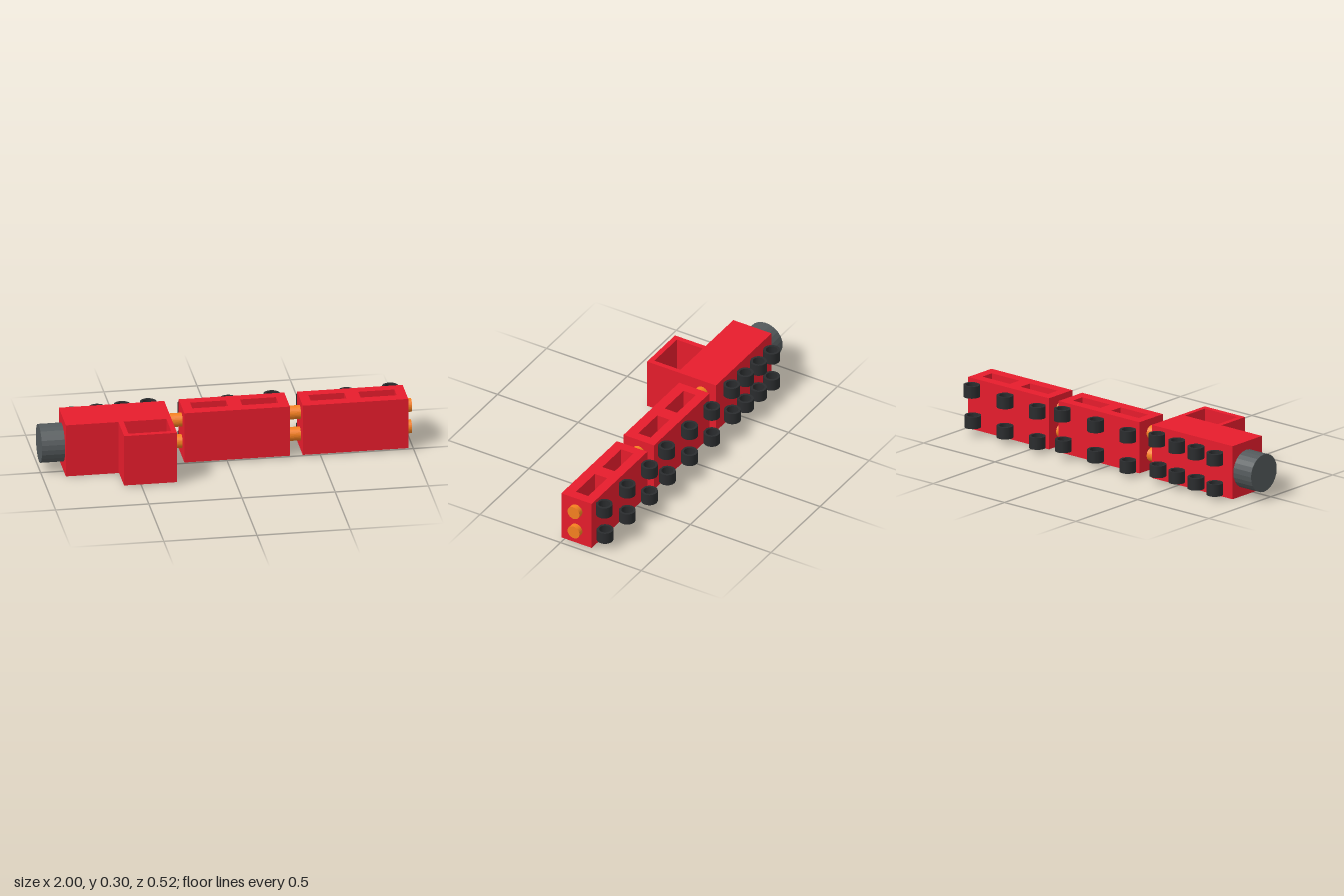
import * as THREE from 'three';

const material = (color) => new THREE.MeshStandardMaterial({ color, flatShading: true });

export function createModel() {
  const model = new THREE.Group();
  const red = material(0xe61c2c), orange = material(0xf58020);
  const grey = material(0x53595b), black = material(0x2a2c2e);

  const add = (name, geometry, mat, x = 0, y = 0, z = 0, parent = model) => {
    const mesh = new THREE.Mesh(geometry, mat);
    mesh.name = name;
    mesh.position.set(x, y, z);
    parent.add(mesh);
    return mesh;
  };

  // Plan outlines from [x, z] corners, counter-clockwise seen from above
  const plan = (Type, corners) => new Type(corners.map(([x, z]) => new THREE.Vector2(x, -z)));
  const rect = (x0, x1, z0, z1) => [[x0, z1], [x1, z1], [x1, z0], [x0, z0]];

  // Upright block with openings going right through
  const block = (outline, openings, y0, y1) => {
    const shape = plan(THREE.Shape, outline);
    shape.holes = openings.map((corners) => plan(THREE.Path, corners));
    return new THREE.ExtrudeGeometry(shape, { depth: y1 - y0, bevelEnabled: false })
      .rotateX(-Math.PI / 2).translate(0, y0, 0);
  };

  // Hollow wheel with its axle direction along y
  const wheelShape = new THREE.Shape().absarc(0, 0, 0.0445, 0, Math.PI * 2);
  wheelShape.holes.push(new THREE.Path().absarc(0, 0, 0.031, 0, Math.PI * 2, true));
  const wheelGeometry = new THREE.ExtrudeGeometry(wheelShape,
    { depth: 0.065, bevelEnabled: false, curveSegments: 24 })
    .rotateX(-Math.PI / 2).translate(0, -0.0325, 0);

  // Two rows of wheels, rising slightly towards the tail of each vehicle
  const addWheels = (parent, xs) => xs.forEach((x, i) => {
    const t = i / (xs.length - 1);
    const rise = 0.02 * (t - 0.5);
    const shift = t === 1 ? 0.008 : 0;
    add('upperWheel', wheelGeometry, black, x, 0.233 + rise, -0.216, parent);
    add('lowerWheel', wheelGeometry, black, x - shift, 0.065 + rise, -0.216, parent);
  });

  // Engine: boiler, open cab and chimney
  const engine = new THREE.Group();
  engine.name = 'engine';
  model.add(engine);
  add('boiler', block(rect(-0.876, -0.31, -0.166, 0.071), [], 0, 0.295), red, 0, 0, 0, engine);
  const cabOutline = [[-0.594, 0.071], [-0.594, 0.261], [-0.31, 0.261], [-0.31, 0.071],
    [-0.337, 0.071], [-0.337, 0.232], [-0.566, 0.232], [-0.566, 0.071]];
  add('cab', block(cabOutline, [], 0.01, 0.295), red, 0, 0, 0, engine);
  add('chimney', new THREE.CylinderGeometry(0.104, 0.104, 0.135, 24).rotateZ(Math.PI / 2),
    grey, -0.9325, 0.145, -0.056, engine);
  addWheels(engine, [-0.795, -0.662, -0.528, -0.388]);

  // Two wagons, each with two through windows
  [-0.231, 0.404].forEach((x) => {
    const wagon = new THREE.Group();
    wagon.name = 'wagon';
    wagon.position.x = x;
    model.add(wagon);
    const windows = [rect(0.052, 0.244, -0.121, -0.045), rect(0.32, 0.513, -0.121, -0.045)];
    add('wagonBody', block(rect(0, 0.566, -0.175, 0.014), windows, 0.011, 0.295),
      red, 0, 0, 0, wagon);
    addWheels(wagon, [0.046, 0.272, 0.506]);
  });

  // Paired coupling pegs between the vehicles and at the tail
  [[-0.33, -0.211], [0.315, 0.424], [0.95, 1]].forEach(([x0, x1]) => {
    const peg = new THREE.CylinderGeometry(0.037, 0.037, x1 - x0, 32).rotateZ(Math.PI / 2);
    for (const y of [0.095, 0.219]) add('couplingPeg', peg, orange, (x0 + x1) / 2, y, -0.08);
  });

  return model;
}
